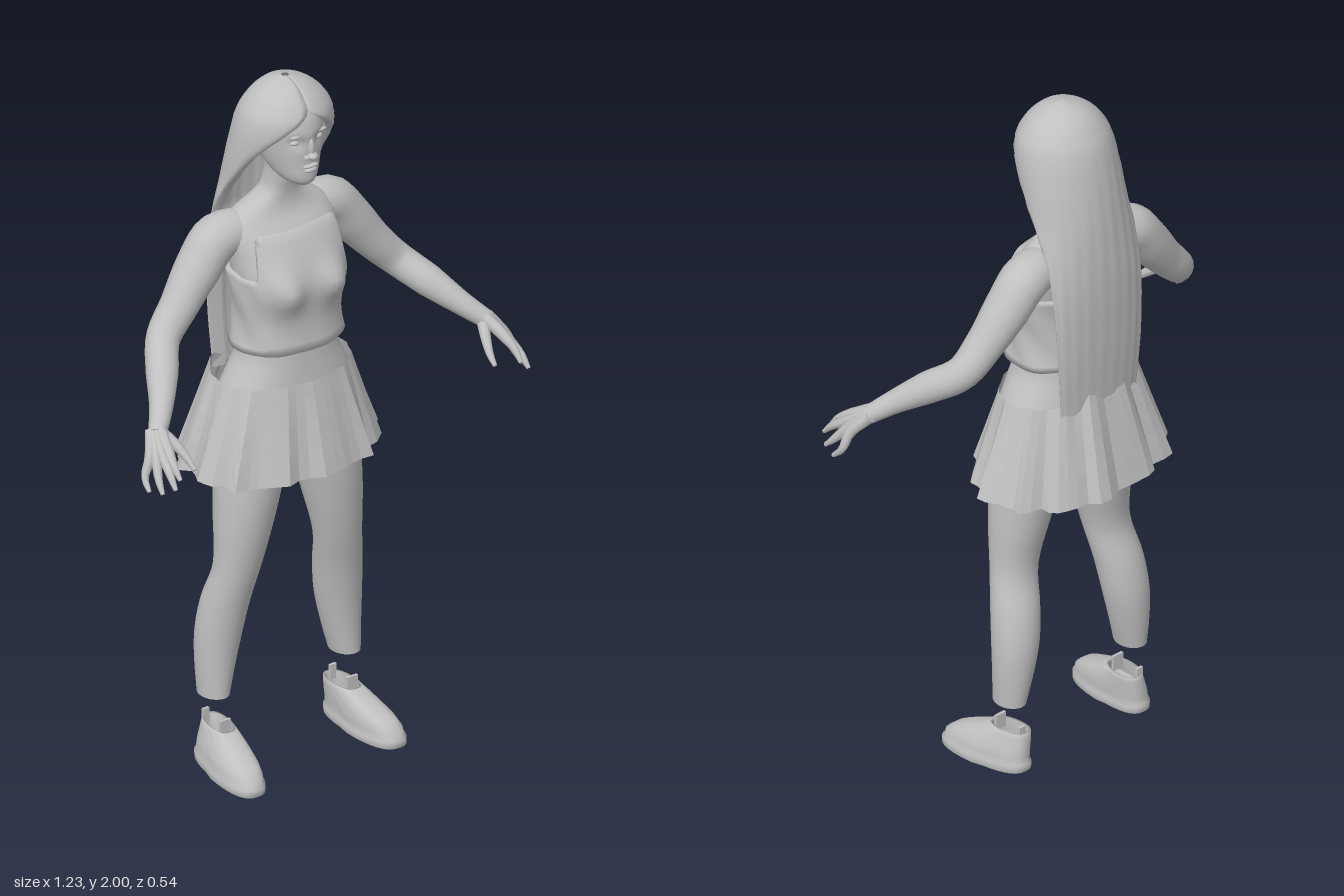
import * as THREE from 'three';

const grey = new THREE.MeshStandardMaterial({ color: 0xc0c0c0, side: THREE.DoubleSide });
grey.name = 'light grey';

const V = (x, y, z) => new THREE.Vector3(x, y, z);
const pow = (v, p) => Math.sign(v) * Math.abs(v) ** p;
const bump = (a, b) => Math.exp(-a * a - b * b);

// Skins closed rings of points (listed bottom to top), with optional end caps.
function loft(name, rings, { caps = true, flat = false } = {}) {
  const n = rings[0].length, pos = [], idx = [];
  rings.forEach(r => r.forEach(p => pos.push(p.x, p.y, p.z)));
  for (let i = 0; i < rings.length - 1; i++) for (let j = 0; j < n; j++) {
    const a = i * n + j, b = i * n + (j + 1) % n;
    idx.push(a, b, a + n, b, b + n, a + n);
  }
  if (caps) [0, rings.length - 1].forEach((k, end) => {
    const c = rings[k].reduce((s, p) => s.add(p), V(0, 0, 0)).divideScalar(n), m = pos.length / 3;
    rings[k].forEach(p => pos.push(p.x, p.y, p.z));
    pos.push(c.x, c.y, c.z);
    for (let j = 0; j < n; j++) {
      const a = m + j, b = m + (j + 1) % n;
      end ? idx.push(a, b, m + n) : idx.push(b, a, m + n);
    }
  });
  let g = new THREE.BufferGeometry();
  g.setAttribute('position', new THREE.Float32BufferAttribute(pos, 3));
  g.setIndex(idx);
  if (flat) g = g.toNonIndexed();
  g.computeVertexNormals();
  const mesh = new THREE.Mesh(g, grey);
  mesh.name = name;
  return mesh;
}

const ring = (n, f) => Array.from({ length: n }, (_, j) => f(j / n * Math.PI * 2));

// Smooth lookup in rows of [y, values...].
function profile(keys) {
  const size = keys[0].length - 1;
  const it = new THREE.CubicInterpolant(keys.map(k => k[0]), keys.flatMap(k => k.slice(1)), size, new Array(size));
  return y => [...it.evaluate(y)];
}
const span = (a, b, n) => Array.from({ length: n + 1 }, (_, i) => a + (b - a) * i / n);

// Round limb through points [x, y, z, radius].
function limb(name, pts, s, sides = 14, steps = 20) {
  const curve = new THREE.CatmullRomCurve3(pts.map(p => V(p[0] * s, p[1], p[2])));
  const { normals, binormals } = curve.computeFrenetFrames(steps);
  return loft(name, span(0, 1, steps).map((u, i) => {
    const k = Math.min(u * (pts.length - 1), pts.length - 1.001), q = Math.floor(k);
    const r = THREE.MathUtils.lerp(pts[q][3], pts[q + 1][3], k - q), c = curve.getPoint(u);
    return ring(sides, t => c.clone().addScaledVector(normals[i], r * Math.cos(t)).addScaledVector(binormals[i], r * Math.sin(t)));
  }));
}

function ball(name, x, y, z, sx, sy, sz) {
  const m = new THREE.Mesh(new THREE.SphereGeometry(1, 14, 10), grey);
  m.name = name;
  m.position.set(x, y, z);
  m.scale.set(sx, sy, sz);
  return m;
}

// Torso: y, half width, front z, back z
const torso = profile([
  [0.88, 0.06, 0.02, -0.08], [0.92, 0.17, 0.07, -0.14], [1.0, 0.2, 0.085, -0.16], [1.1, 0.195, 0.085, -0.15],
  [1.15, 0.172, 0.08, -0.14], [1.2, 0.147, 0.075, -0.13], [1.3, 0.138, 0.07, -0.12], [1.42, 0.152, 0.075, -0.125],
  [1.5, 0.16, 0.055, -0.14], [1.56, 0.165, 0.025, -0.145], [1.6, 0.15, -0.003, -0.135], [1.63, 0.1, -0.012, -0.12],
  [1.66, 0.058, -0.012, -0.105], [1.7, 0.046, -0.005, -0.095], [1.78, 0.046, 0.01, -0.085]]);
function bodyPoint(y, t, off = 0) {
  const [rx, zf, zb] = torso(y), x = (rx + off) * pow(Math.sin(t), 0.88);
  let z = (zf + zb) / 2 + ((zf - zb) / 2 + off) * pow(Math.cos(t), 0.88);
  if (Math.cos(t) > 0) z += 0.035 * (bump((x - 0.08) / 0.055, (y - 1.42) / 0.055) + bump((x + 0.08) / 0.055, (y - 1.42) / 0.055));
  return V(x, y, z);
}

// Strapless top with a high front panel and low armholes
function makeTop() {
  const edge = t => {
    const x = Math.abs(Math.sin(t)) * 0.17;
    return Math.cos(t) > 0 ? 1.455 + 0.115 * (1 - THREE.MathUtils.smoothstep(x, 0.115, 0.145)) : 1.46;
  };
  const rows = span(0, 1, 14).map(u => ring(72, t => {
    const y = 1.235 + (edge(t) - 1.235) * u;
    return bodyPoint(y, t, 0.012 + 0.01 * (1 - u) ** 3 + 0.002 * Math.sin(7 * t + 9 * u));
  }));
  rows.unshift(ring(72, t => bodyPoint(1.24, t, 0)));
  rows.push(ring(72, t => bodyPoint(edge(t) - 0.004, t, -0.004)));
  return loft('top', rows, { caps: false });
}

// Pleated skirt with irregular folds, gathered at the back
function makeSkirt() {
  const fold = t => 0.55 * Math.sin(13 * t + 0.6) + 0.3 * Math.sin(21 * t + 2) + 0.25 * Math.sin(5 * t);
  return loft('skirt', [0, 0.3, 0.6, 0.85, 1].map(u => ring(56, t => {
    const w = 1 - u, back = Math.max(0, -Math.cos(t));
    const k = 1 + fold(t) * (0.02 + 0.06 * w + 0.03 * back * u);
    return V((0.2 + 0.085 * w) * k * pow(Math.sin(t), 0.9),
      0.88 + 0.26 * u + back * u * 0.02 * (1 + fold(t + 1)),
      -0.05 - 0.008 * w + (0.14 + 0.062 * w) * k * pow(Math.cos(t), 0.9));
  })), { caps: false, flat: true });
}

// Leg: y, centre x, half width, centre z, half depth
function makeLeg(s) {
  const leg = profile([[0.22, 0.214, 0.04, -0.058, 0.05], [0.3, 0.206, 0.053, -0.062, 0.056], [0.4, 0.195, 0.065, -0.06, 0.063],
    [0.5, 0.182, 0.068, -0.045, 0.064], [0.6, 0.164, 0.068, -0.02, 0.06], [0.75, 0.142, 0.084, -0.018, 0.083],
    [0.88, 0.122, 0.094, -0.025, 0.103], [1.0, 0.105, 0.095, -0.035, 0.115]]);
  return loft('leg', span(0.22, 1.0, 26).map(y => {
    const [cx, rx, cz, rz] = leg(y);
    return ring(24, t => V(s * cx + rx * Math.sin(t), y, cz + rz * Math.cos(t)));
  }));
}

// Shoe: y, centre x, half width, toe z, heel z; the last rows turn down inside the opening
function makeShoe(s) {
  const g = new THREE.Group();
  g.name = 'shoe';
  const rows = [[0.01, 0.224, 0.054, 0.155, -0.112], [0.016, 0.224, 0.06, 0.165, -0.12], [0.034, 0.224, 0.06, 0.165, -0.122],
    [0.036, 0.224, 0.055, 0.158, -0.116], [0.055, 0.223, 0.055, 0.155, -0.116], [0.075, 0.22, 0.052, 0.13, -0.115],
    [0.095, 0.216, 0.046, 0.085, -0.114], [0.112, 0.213, 0.041, 0.04, -0.112], [0.126, 0.211, 0.037, 0.012, -0.11],
    [0.124, 0.211, 0.031, 0.004, -0.104], [0.08, 0.214, 0.035, 0.03, -0.1]];
  g.add(loft('shoeBody', rows.map(([y, cx, rx, zf, zb]) => ring(32, t => {
    const z = (zf + zb) / 2 + (zf - zb) / 2 * pow(Math.cos(t), 0.85);
    const heel = z < 0 ? 0.9 : 1;
    return V(s * (cx + 0.08 * z - 0.005) + rx * heel * pow(Math.sin(t), 0.8), y - 0.055 * z, z);
  }))));
  for (const [z, w] of [[-0.1, 0.02], [-0.015, 0.035]]) {
    const tab = new THREE.Mesh(new THREE.BoxGeometry(w, 0.045, 0.008), grey);
    tab.name = 'shoeTab';
    tab.position.set(s * 0.208, 0.13, z);
    g.add(tab);
  }
  return g;
}

// Arm with a hand whose fingers fan out from the wrist
function makeArm(s) {
  const g = new THREE.Group();
  g.name = 'arm';
  g.add(limb('armLimb', [[0.1, 1.555, -0.075, 0.058], [0.18, 1.55, -0.085, 0.066], [0.25, 1.475, -0.082, 0.062], [0.315, 1.395, -0.072, 0.052],
    [0.38, 1.325, -0.055, 0.046], [0.435, 1.27, 0.015, 0.044], [0.49, 1.215, 0.085, 0.032], [0.54, 1.17, 0.135, 0.025]], s, 18, 32));
  const fingers = [[0.557, 1.09, 0.26], [0.577, 1.07, 0.267], [0.598, 1.052, 0.238], [0.61, 1.045, 0.195]];
  fingers.forEach(([x, y, z], i) => g.add(limb('finger', [[0.53 + i * 0.006, 1.185 - i * 0.003, 0.132 - i * 0.004, 0.018],
    [0.548 + i * 0.011, 1.146 - i * 0.007, 0.195 - i * 0.012, 0.016], [(x + 0.556 + i * 0.014) / 2, y + 0.03, z - 0.028, 0.011], [x, y, z, 0.006]], s, 8, 10)));
  g.add(limb('thumb', [[0.53, 1.175, 0.125, 0.018], [0.508, 1.145, 0.17, 0.015], [0.495, 1.115, 0.205, 0.011], [0.491, 1.09, 0.235, 0.006]], s, 8, 10));
  return g;
}

// Head with simple facial relief
function makeHead() {
  const g = new THREE.Group();
  g.name = 'head';
  const head = profile([[1.714, 0.02, 0.068, 0.02], [1.722, 0.038, 0.078, -0.02], [1.74, 0.055, 0.083, -0.06], [1.77, 0.07, 0.083, -0.1],
    [1.82, 0.084, 0.084, -0.125], [1.88, 0.088, 0.088, -0.13], [1.94, 0.078, 0.065, -0.11], [1.975, 0.045, 0.02, -0.07]]);
  g.add(loft('skull', span(1.714, 1.975, 28).map(y => {
    const [rx, zf, zb] = head(y);
    return ring(40, t => {
      const x = rx * Math.sin(t);
      let z = (zf + zb) / 2 + (zf - zb) / 2 * Math.cos(t);
      if (Math.cos(t) > 0) z -= 0.012 * (bump((x - 0.036) / 0.02, (y - 1.848) / 0.016) + bump((x + 0.036) / 0.02, (y - 1.848) / 0.016));
      return V(x, y, z);
    });
  })));
  g.add(ball('noseTip', 0, 1.808, 0.092, 0.014, 0.01, 0.015), ball('noseBridge', 0, 1.83, 0.084, 0.008, 0.03, 0.012),
    ball('upperLip', 0, 1.777, 0.083, 0.024, 0.006, 0.01), ball('lowerLip', 0, 1.764, 0.082, 0.02, 0.007, 0.01));
  for (const s of [-1, 1]) g.add(ball('eye', s * 0.036, 1.847, 0.062, 0.016, 0.008, 0.012),
    ball('eyebrow', s * 0.038, 1.869, 0.073, 0.021, 0.004, 0.008), ball('nostril', s * 0.013, 1.804, 0.084, 0.008, 0.007, 0.009));
  return g;
}

// Long hair: y, half width, half depth, centre z, half opening angle measured from the back
function makeHair() {
  const hair = profile([[1.12, 0.15, 0.035, -0.155, 1.15], [1.3, 0.165, 0.045, -0.155, 1.15], [1.5, 0.17, 0.065, -0.138, 1.2],
    [1.6, 0.165, 0.085, -0.113, 1.3], [1.7, 0.152, 0.105, -0.085, 1.65], [1.8, 0.146, 0.12, -0.055, 2.05],
    [1.86, 0.14, 0.125, -0.038, 2.4], [1.9, 0.132, 0.12, -0.032, 2.8], [1.93, 0.117, 0.106, -0.03, 3.1],
    [1.965, 0.086, 0.08, -0.03, 3.12], [1.99, 0.045, 0.045, -0.03, 3.12], [2.0, 0.012, 0.012, -0.03, 3.12]]);
  const n = 40, ys = [...span(1.12, 1.9, 30), ...span(1.915, 2.0, 9)];
  return loft('hair', ys.map(y => {
    const [rx, rz, cz, a] = hair(y);
    const arc = (thin, dir) => span(a * dir, -a * dir, n).map(u => {
      const k = (1 + (y < 1.9 ? 0.012 * Math.sin(u * 23) : 0)) * thin, edge = 1 - 0.04 * (Math.abs(u / a) > 0.99 ? 1 : 0);
      return V(rx * k * edge * Math.sin(u), y - (y < 1.13 ? 0.012 * Math.sin(u * 9) : 0), cz - rz * k * Math.cos(u));
    });
    return [...arc(1, 1), ...arc(y < 1.55 ? 0.72 : 0.85, -1)];
  }), { caps: false });
}

export function createModel() {
  const model = new THREE.Group();
  model.name = 'standingFigure';
  const body = loft('torso', span(0.88, 1.78, 60).map(y => ring(48, t => bodyPoint(y, t))));
  model.add(body, makeTop(), makeSkirt(), makeHead(), makeHair());
  for (const s of [-1, 1]) model.add(makeLeg(s), makeShoe(s), makeArm(s));
  return model;
}
